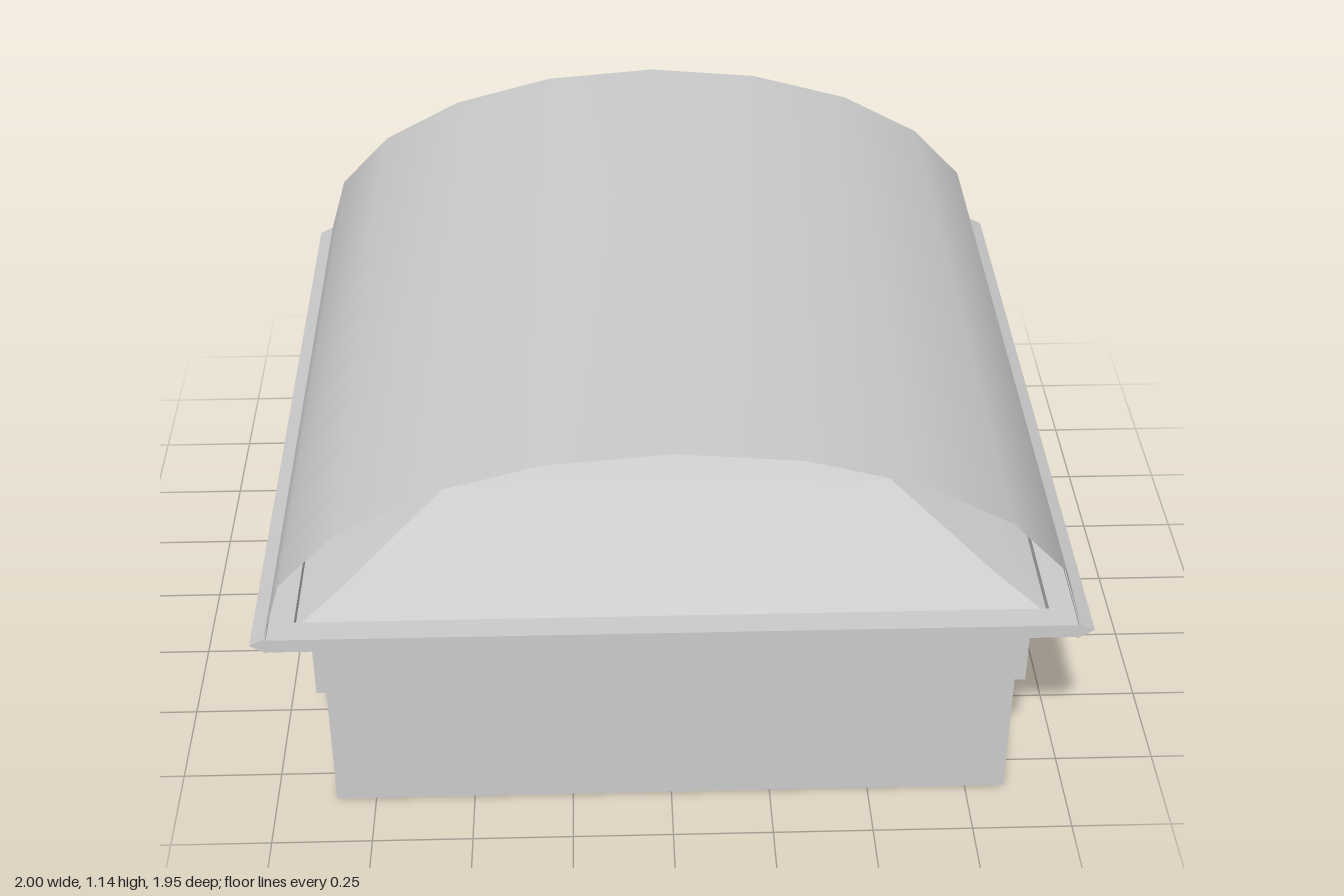
import * as THREE from 'three';
import { toCreasedNormals } from 'three/addons/utils/BufferGeometryUtils.js';

const material = new THREE.MeshStandardMaterial({ color: 0xcccccc, side: THREE.DoubleSide });

function part(name, geometry) {
  const mesh = new THREE.Mesh(geometry, material);
  mesh.name = name;
  return mesh;
}

function block(name, w, d, y0, y1) {
  const g = new THREE.BoxGeometry(w, y1 - y0, d);
  g.translate(0, (y0 + y1) / 2, 0);
  return part(name, g);
}

// Loft of four-sided rings [half at side middle, y, half at corner]; sides may bulge
function loft(rings, { perSide = 1, dz = 0, cap = false, crease = 0.45 } = {}) {
  const pos = [], index = [], n = perSide * 4;
  for (const [mid, y, corner = mid] of rings) {
    for (let s = 0; s < 4; s++) {
      for (let i = 0; i < perSide; i++) {
        const t = 1 - (2 * i) / perSide;              // +1 .. -1 along the side
        const out = mid + (corner - mid) * t * t, a = (s * Math.PI) / 2;
        const along = corner * t;
        const x = out * Math.cos(a) + along * Math.sin(a);
        const z = along * Math.cos(a) - out * Math.sin(a);
        pos.push(x, y, z * (1 + dz / mid));
      }
    }
  }
  for (let r = 0; r < rings.length - 1; r++) {
    for (let i = 0; i < n; i++) {
      const j = (i + 1) % n, a = r * n + i, b = r * n + j;
      index.push(a, b, b + n, a, b + n, a + n);
    }
  }
  if (cap) {
    const top = (rings.length - 1) * n;
    pos.push(0, rings[rings.length - 1][1], 0);
    for (let i = 0; i < n; i++) index.push(rings.length * n, top + i, top + ((i + 1) % n));
  }
  const g = new THREE.BufferGeometry();
  g.setAttribute('position', new THREE.Float32BufferAttribute(pos, 3));
  g.setIndex(index);
  return toCreasedNormals(g, crease);
}

// Open half-elliptic barrel shell running along z
function barrel(rx, ry, y0, length, segments) {
  const g = new THREE.CylinderGeometry(1, 1, length, segments, 1, true, Math.PI / 2, Math.PI);
  g.rotateX(Math.PI / 2);                             // arc now rises along +y
  g.scale(rx, ry, 1);
  g.translate(0, y0, 0);
  g.computeVertexNormals();
  return g;
}

export function createModel() {
  const group = new THREE.Group();
  group.name = 'vaultedCap';

  // Stepped plinth
  group.add(block('base', 1.7, 1.69, 0, 0.375));
  group.add(block('neck', 1.74, 1.745, 0.375, 0.532));

  // Rounded moulding under the rim
  group.add(part('moulding', loft(
    [[0.87, 0.532], [0.895, 0.543], [0.914, 0.56], [0.926, 0.578], [0.932, 0.592]], { crease: 0.6 })));

  // Raised rim with an inner lip
  group.add(part('rim', loft(
    [[0.93, 0.592], [0.965, 0.592], [0.965, 0.628], [0.9, 0.628], [0.9, 0.602]], { dz: 0.011 })));

  // Shallow four-sided dome beneath the vault
  group.add(part('innerDome', loft([
    [0.9, 0.602, 0.9], [0.83, 0.645, 0.785], [0.71, 0.702, 0.67], [0.58, 0.76, 0.55],
    [0.41, 0.82, 0.4], [0.15, 0.86, 0.15],
  ], { perSide: 6, cap: true })));

  // Pointed drip edges along both long sides
  for (const s of [1, -1]) {
    const shape = new THREE.Shape([
      new THREE.Vector2(s * 0.96, 0.588),
      new THREE.Vector2(s * 1.0, 0.613),
      new THREE.Vector2(s * 0.96, 0.634),
    ]);
    const g = new THREE.ExtrudeGeometry(shape, { depth: 1.952, bevelEnabled: false });
    g.translate(0, 0, -0.976);
    group.add(part(s > 0 ? 'leftDripEdge' : 'rightDripEdge', g));
  }

  // Thin barrel vault, open at both ends
  group.add(part('barrelVault', barrel(0.965, 0.515, 0.628, 1.952, 10)));
  return group;
}
